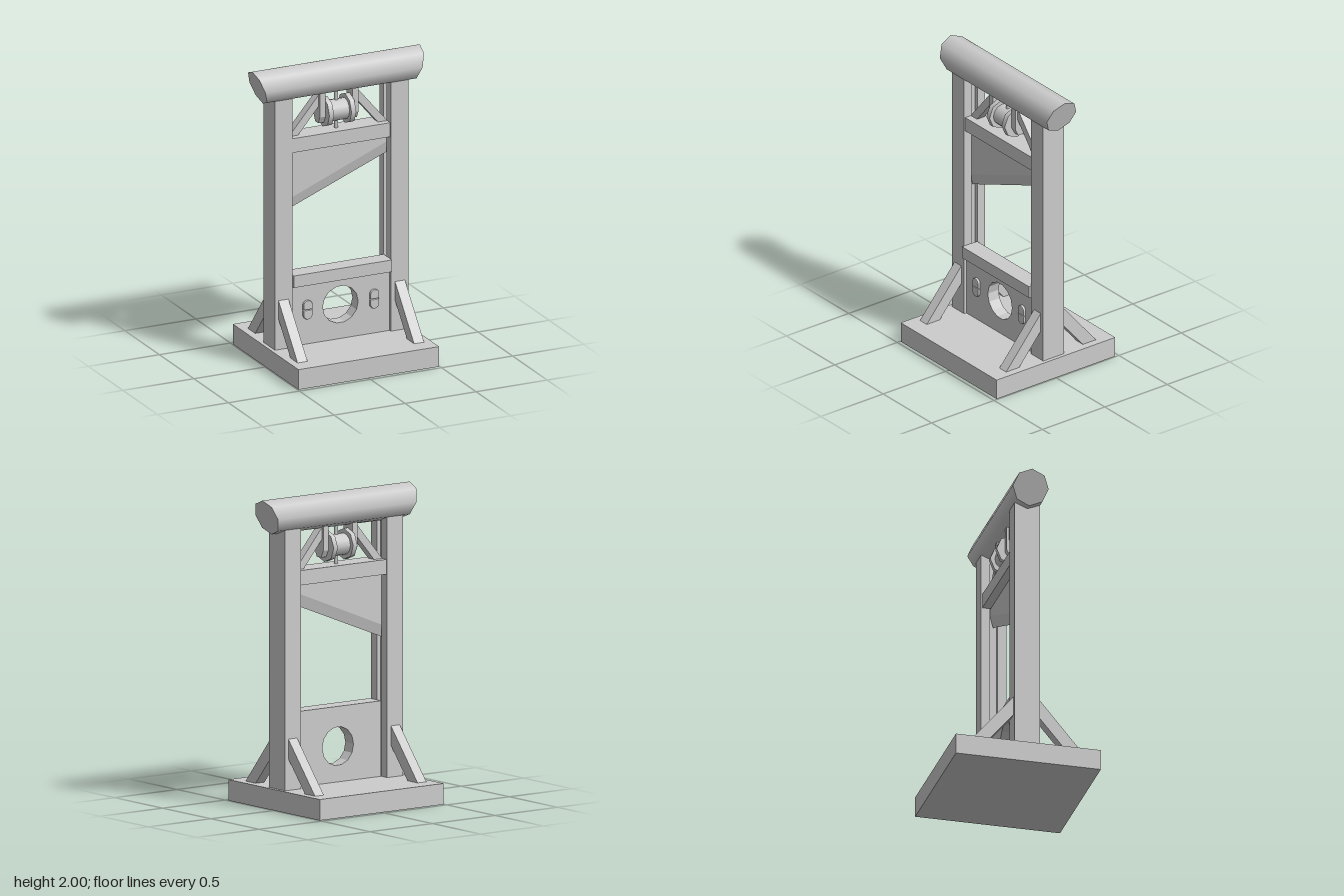
import * as THREE from 'three';

const mat = new THREE.MeshStandardMaterial({ color: 0xcccccc });

export function createModel() {
  const model = new THREE.Group();

  const add = (name, geometry, x = 0, y = 0, z = 0) => {
    const mesh = new THREE.Mesh(geometry, mat);
    mesh.name = name;
    mesh.position.set(x, y, z);
    model.add(mesh);
    return mesh;
  };
  // box given by its lower and upper corners
  const box = (name, [x0, y0, z0], [x1, y1, z1]) =>
    add(name, new THREE.BoxGeometry(x1 - x0, y1 - y0, z1 - z0),
      (x0 + x1) / 2, (y0 + y1) / 2, (z0 + z1) / 2);
  const poly = pts => new THREE.Shape(pts.map(p => new THREE.Vector2(...p)));
  // prism centred on its depth axis
  const prism = (shape, depth, curveSegments = 12) =>
    new THREE.ExtrudeGeometry(shape, { depth, bevelEnabled: false, curveSegments })
      .translate(0, 0, -depth / 2);
  const barrel = (name, r, length, x, y, sides = 8) =>
    add(name, new THREE.CylinderGeometry(r, r, length, sides).rotateZ(Math.PI / 2), x, y, 0);

  // Base slab
  box('base', [-0.495, 0, -0.475], [0.495, 0.135, 0.475]);

  // Posts with an inner groove, and their sloping foot braces
  const postBottom = 0.13, postTop = 1.84;
  for (const s of [1, -1]) {
    const plan = poly([
      [0.345, -0.083], [0.47, -0.083], [0.47, 0.083], [0.345, 0.083],
      [0.345, 0.025], [0.375, 0.025], [0.375, -0.025], [0.345, -0.025],
    ].map(([x, z]) => [s * x, z]));
    add('post', prism(plan, postTop - postBottom).rotateX(-Math.PI / 2),
      0, (postTop + postBottom) / 2, 0);

    for (const f of [1, -1]) {
      const side = poly([[0.08, 0.468], [0.36, 0.135], [0.255, 0.135], [0.08, 0.342]]
        .map(([z, y]) => [f * z, y]));
      add('footBrace', prism(side, 0.07).rotateY(-Math.PI / 2), s * 0.41, 0, 0);
    }
  }

  // Top log: eight sides, ends cut at a slant
  const log = new THREE.CylinderGeometry(0.1175, 0.1175, 1, 8).rotateZ(Math.PI / 2);
  log.scale(1, 0.957, 1);
  const lp = log.attributes.position, ln = log.attributes.normal, slope = 0.333;
  for (let i = 0; i < lp.count; i++) {
    const s = Math.sign(lp.getX(i));
    lp.setX(i, s * (0.5525 + slope * lp.getY(i)));
    if (Math.abs(ln.getX(i)) > 0.9) {
      const n = new THREE.Vector3(s, -slope, 0).normalize();
      ln.setXYZ(i, n.x, n.y, n.z);
    }
  }
  add('topLog', log, 0, 1.8875, 0);

  // Weight bar that carries the blade
  box('bladeBar', [-0.345, 1.44, -0.075], [0.345, 1.535, 0.075]);

  // Slanted blade: two end sections with a bevel down to the edge
  const section = (x, bevelY, edgeY) => [
    [x, 1.45, 0.02], [x, bevelY, 0.02], [x, edgeY, 0], [x, bevelY, -0.02], [x, 1.45, -0.02],
  ];
  const a = section(-0.365, 1.102, 1.027), b = section(0.365, 1.398, 1.318);
  const tri = [];
  for (let i = 0; i < 5; i++) {
    const j = (i + 1) % 5;
    tri.push(a[i], a[j], b[j], a[i], b[j], b[i]);
  }
  for (let i = 1; i < 4; i++) tri.push(a[0], a[i + 1], a[i], b[0], b[i], b[i + 1]);
  const blade = new THREE.BufferGeometry();
  blade.setAttribute('position', new THREE.Float32BufferAttribute(tri.flat(), 3));
  blade.computeVertexNormals();
  add('blade', blade);

  // Winch: drum, flanges, axle, hangers and diagonal struts
  const axleY = 1.655;
  barrel('winchDrum', 0.07, 0.13, 0, axleY, 12);
  barrel('winchAxle', 0.025, 0.26, 0, axleY);
  for (const s of [1, -1]) {
    barrel('winchFlange', 0.1, 0.033, s * 0.078, axleY);
    const hanger = poly([
      [-0.045, 1.82], [-0.045, 1.635], [-0.022, 1.59], [0.022, 1.59], [0.045, 1.635], [0.045, 1.82],
    ]);
    add('winchHanger', prism(hanger, 0.04).rotateY(-Math.PI / 2), s * 0.116, 0, 0);
    const strut = poly([[0.345, 1.53], [0.345, 1.537], [0.125, 1.797], [0.125, 1.72], [0.285, 1.53]]
      .map(([x, y]) => [s * x, y]));
    add('diagonalStrut', prism(strut, 0.06));
  }
  add('rope', new THREE.CylinderGeometry(0.013, 0.013, 0.28, 8), 0, 1.66, 0);

  // Stock board with a round opening, and its top rail
  const board = poly([[-0.345, 0.13], [0.345, 0.13], [0.345, 0.62], [-0.345, 0.62]]);
  const ring = [];
  for (let i = 0; i < 14; i++) {
    const t = (i / 14) * Math.PI * 2;
    ring.push(new THREE.Vector2(0.125 * Math.cos(t), 0.365 + 0.125 * Math.sin(t)));
  }
  board.holes.push(new THREE.Path(ring));
  add('stockBoard', prism(board, 0.085), 0, 0, 0.0225);
  box('stockRail', [-0.345, 0.54, 0.06], [0.345, 0.62, 0.1]);

  // Latches: rounded halves either side of the opening
  for (const x of [-0.235, 0.235]) {
    for (const f of [1, -1]) {
      const half = new THREE.Shape();
      half.moveTo(-0.026, 0.008);
      half.lineTo(0.026, 0.008);
      half.lineTo(0.026, 0.032);
      half.absarc(0, 0.032, 0.026, 0, Math.PI, false);
      half.closePath();
      const geo = new THREE.ExtrudeGeometry(half, {
        depth: 0.012, curveSegments: 8, bevelThickness: 0.006, bevelSize: 0.006, bevelSegments: 2,
      });
      if (f < 0) geo.rotateZ(Math.PI);
      add('latch', geo, x, 0.3675, 0.064);
    }
  }

  return model;
}
